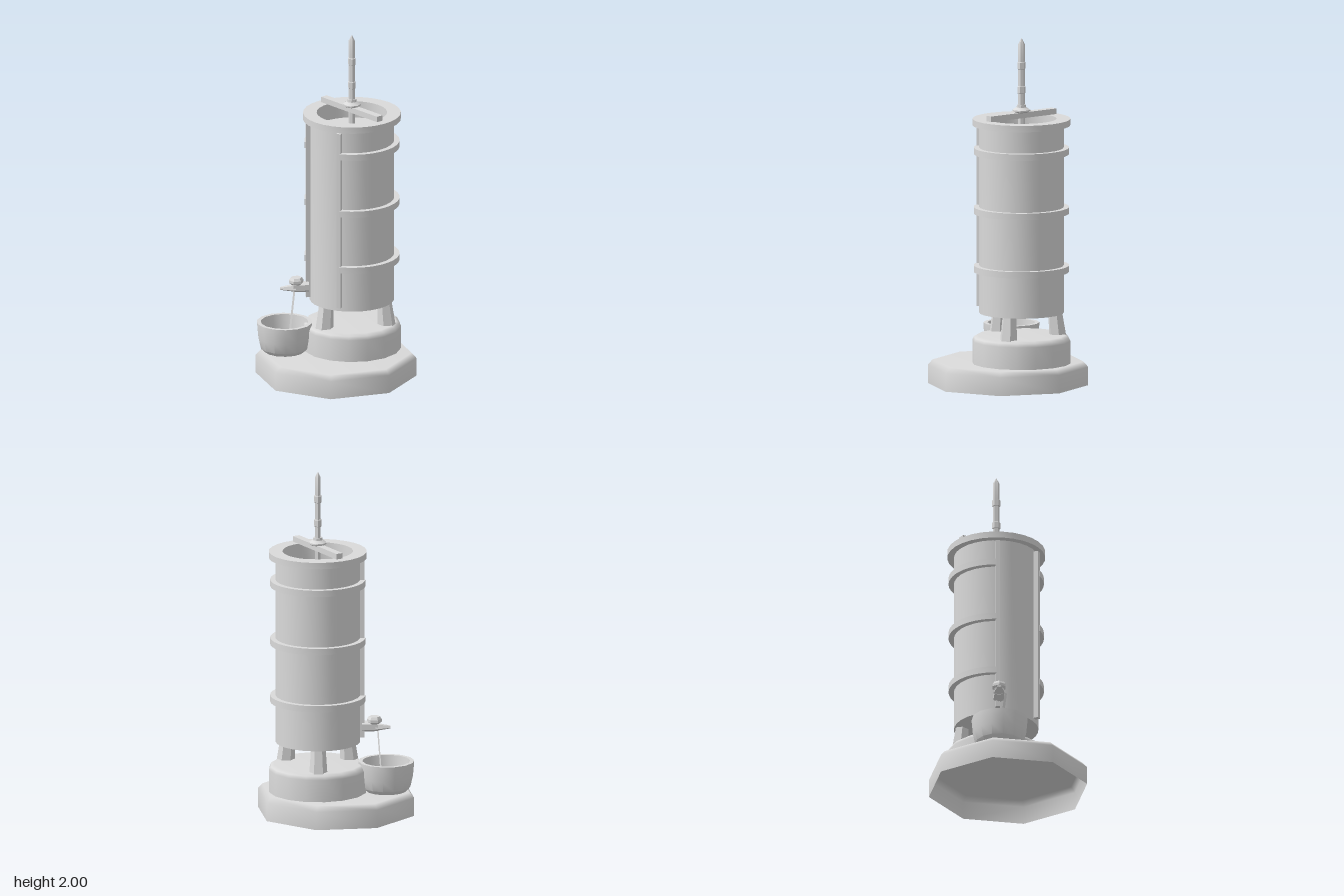
import * as THREE from 'three';
import { toCreasedNormals } from 'three/addons/utils/BufferGeometryUtils.js';

const grey = new THREE.MeshStandardMaterial({ color: 0xdadada });
grey.name = 'grey';
const greySheet = new THREE.MeshStandardMaterial({ color: 0xdadada, side: THREE.DoubleSide });
greySheet.name = 'grey sheet';

function add(parent, name, geometry, x = 0, y = 0, z = 0, material = grey) {
  const mesh = new THREE.Mesh(geometry, material);
  mesh.name = name;
  mesh.position.set(x, y, z);
  parent.add(mesh);
  return mesh;
}

// Turned part; profile runs from bottom outward, up, then inward
function turned(profile, sides, crease = 0.6) {
  const points = profile.map(([r, y]) => new THREE.Vector2(r, y));
  const g = new THREE.LatheGeometry(points, sides);
  return crease === null ? g : toCreasedNormals(g, crease);
}

// Ring that stops short of the front panel on both sides
function openBand(inner, outer, height, gap) {
  const a = -Math.PI / 2 + gap, b = 1.5 * Math.PI - gap;
  const shape = new THREE.Shape();
  shape.absarc(0, 0, outer, a, b, false);
  shape.absarc(0, 0, inner, b, a, true);
  const g = new THREE.ExtrudeGeometry(shape, { depth: height, bevelEnabled: false, curveSegments: 28 });
  g.rotateX(-Math.PI / 2);
  return toCreasedNormals(g, 0.6);
}

export function createModel() {
  const model = new THREE.Group();
  model.name = 'drumOnPlinth';

  // Octagonal base with softened edges, hollow underneath
  add(model, 'base', turned(
    [[0.457, 0], [0.457, 0.105], [0.43, 0.135], [0, 0.135]], 8, null), 0, 0, 0, greySheet);

  // Everything on the drum axis
  const tower = new THREE.Group();
  tower.name = 'tower';
  tower.position.z = -0.12;
  model.add(tower);

  add(tower, 'plinth', turned(
    [[0.28, 0.137], [0.28, 0.265], [0.27, 0.285], [0.25, 0.297], [0, 0.297]], 16, null));

  // Three splayed legs
  for (let i = 0; i < 3; i++) {
    const pivot = new THREE.Group();
    pivot.name = 'leg' + (i + 1);
    pivot.rotation.y = i * Math.PI * 2 / 3;
    tower.add(pivot);
    const leg = new THREE.CylinderGeometry(0.04, 0.052, 0.17, 6, 1, false, Math.PI / 6);
    add(pivot, 'legPost', toCreasedNormals(leg, 0.5), 0, 0.365, 0.2).rotation.x = -0.1;
  }

  // Drum with shallow domed underside
  add(tower, 'drum', turned(
    [[0, 0.403], [0.12, 0.409], [0.2, 0.42], [0.24, 0.425], [0.24, 1.51]], 28));

  // Rim and recessed top with a raised disc
  add(tower, 'rim', turned(
    [[0.235, 1.5], [0.278, 1.5], [0.278, 1.537], [0.2, 1.537], [0.2, 1.44]], 28));
  add(tower, 'recessFloor', turned(
    [[0.21, 1.44], [0.125, 1.44], [0.125, 1.45], [0, 1.45]], 20, 0.5), 0, 0, 0, greySheet);

  // Three hoops
  for (const y of [0.66, 0.995, 1.335]) {
    add(tower, 'hoop', openBand(0.235, 0.27, 0.037, 0.58), 0, y, 0);
  }

  // Upright rails beside the front panel
  for (const side of [-1, 1]) {
    const a = side * 0.56;
    const rail = add(tower, side < 0 ? 'rightRail' : 'leftRail',
      new THREE.BoxGeometry(0.026, 1.04, 0.04), Math.sin(a) * 0.245, 0.97, Math.cos(a) * 0.245);
    rail.rotation.y = a;
  }

  // Crossbar, collar and pointed spindle
  add(tower, 'crossbar', new THREE.BoxGeometry(0.48, 0.032, 0.042), 0, 1.558, 0);
  add(tower, 'collar', turned(
    [[0, 1.572], [0.035, 1.572], [0.051, 1.58], [0.051, 1.588], [0.03, 1.602], [0, 1.602]], 8));
  add(tower, 'nut', toCreasedNormals(new THREE.CylinderGeometry(0.026, 0.028, 0.02, 8), 0.5), 0, 1.607, 0);
  add(tower, 'spindle', turned(
    [[0, 1.42], [0.019, 1.42], [0.019, 1.68], [0.023, 1.683], [0.023, 1.72], [0.019, 1.723],
      [0.019, 1.82], [0.023, 1.823], [0.023, 1.86], [0.019, 1.863], [0.019, 1.965], [0, 2]],
    6, 0.5));

  // Catch bowl
  add(model, 'bowl', turned(
    [[0, 0.136], [0.115, 0.137], [0.138, 0.16], [0.152, 0.22], [0.159, 0.3], [0.159, 0.31],
      [0.136, 0.31], [0.128, 0.22], [0.122, 0.175], [0, 0.17]], 14, 0.65), -0.2, 0, 0.213);

  // Tap, pointing out from the drum toward the bowl
  const tap = new THREE.Group();
  tap.name = 'tap';
  tap.position.set(-0.165, 0, 0.155);
  tap.rotation.y = -0.56;
  model.add(tap);
  const pipe = new THREE.CylinderGeometry(0.03, 0.034, 0.09, 6);
  pipe.rotateX(Math.PI / 2);
  add(tap, 'tapPipe', toCreasedNormals(pipe, 0.5), 0, 0.513, -0.025);
  const spout = new THREE.CylinderGeometry(0.012, 0.034, 0.085, 5);
  spout.rotateX(Math.PI / 2).scale(1, 0.7, 1);
  add(tap, 'spout', toCreasedNormals(spout, 0.5), 0, 0.508, 0.05);
  add(tap, 'tapHandle', turned(
    [[0, 0.525], [0.025, 0.525], [0.042, 0.54], [0.042, 0.555], [0.032, 0.57], [0, 0.57]], 6, 0.4));

  // Thin falling stream
  const stream = add(model, 'stream', new THREE.PlaneGeometry(0.016, 0.33), -0.167, 0.335, 0.19, greySheet);
  stream.rotation.z = -0.15;

  return model;
}
